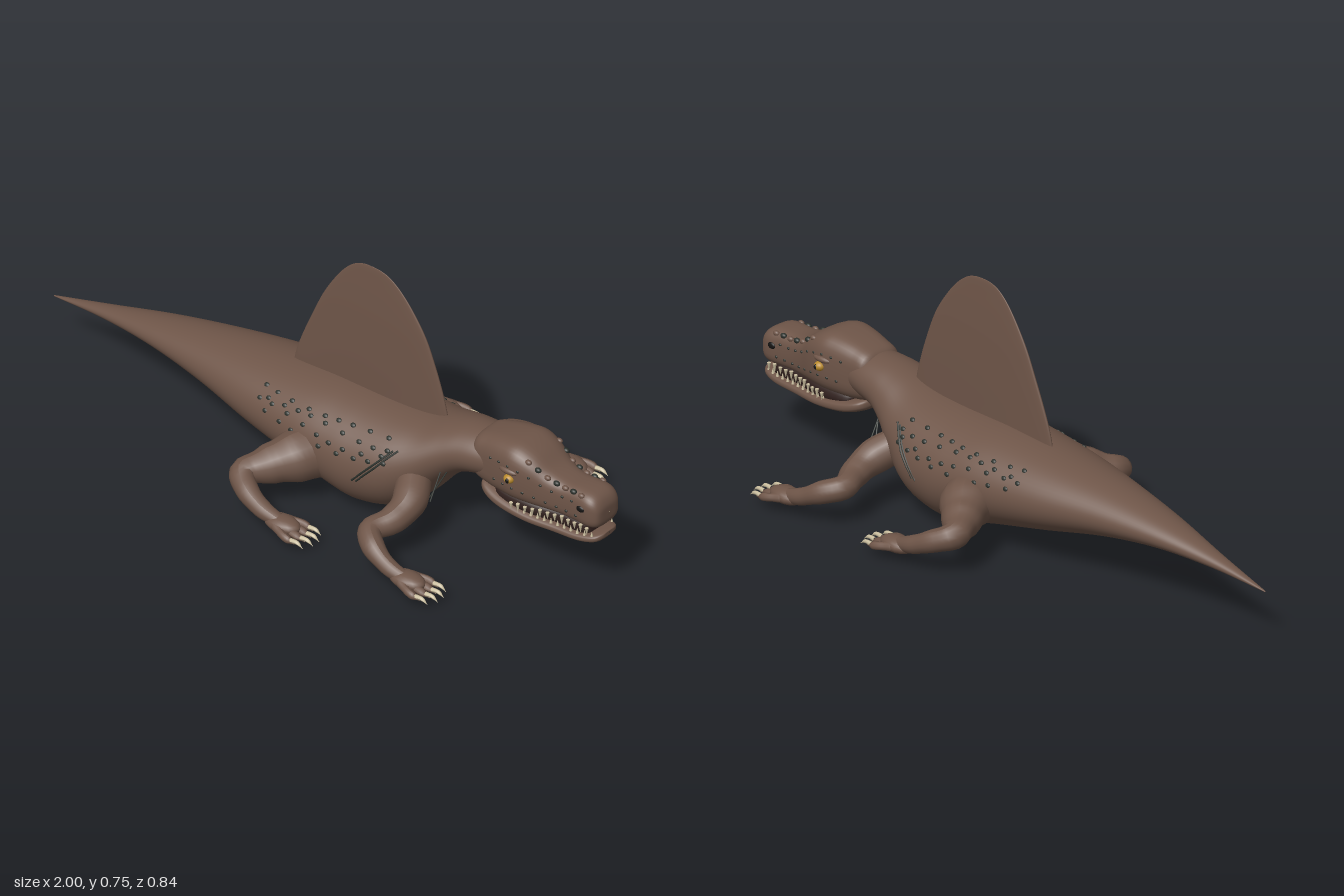
import * as THREE from 'three';

const mat = (name, color) => Object.assign(new THREE.MeshStandardMaterial({ color }), { name });
const V = (x, y, z) => new THREE.Vector3(x, y, z);

// Station rows: x, bottom, top, half width
const BODY = [
  [-1, 0.154, 0.157, 0.002], [-0.8, 0.165, 0.205, 0.03], [-0.6, 0.163, 0.25, 0.07], [-0.4, 0.135, 0.285, 0.112],
  [-0.2, 0.088, 0.31, 0.157], [0, 0.042, 0.328, 0.188], [0.12, 0.01, 0.33, 0.197], [0.2, 0, 0.33, 0.197],
  [0.3, 0.025, 0.333, 0.185], [0.38, 0.085, 0.342, 0.155], [0.45, 0.165, 0.36, 0.122], [0.51, 0.215, 0.372, 0.102],
  [0.58, 0.235, 0.375, 0.09], [0.66, 0.24, 0.37, 0.07]];
const SKULL = [
  [0.55, 0.28, 0.34, 0.03], [0.565, 0.24, 0.378, 0.072], [0.61, 0.225, 0.395, 0.082], [0.67, 0.222, 0.407, 0.092],
  [0.72, 0.222, 0.408, 0.097], [0.77, 0.222, 0.388, 0.088], [0.82, 0.222, 0.352, 0.072], [0.87, 0.222, 0.336, 0.062],
  [0.92, 0.22, 0.336, 0.061], [0.96, 0.22, 0.333, 0.063], [0.985, 0.225, 0.32, 0.056], [0.998, 0.24, 0.297, 0.04],
  [1, 0.268, 0.272, 0.002]];
const JAW = [
  [0.57, 0.215, 0.23, 0.02], [0.59, 0.196, 0.235, 0.062], [0.65, 0.176, 0.22, 0.08], [0.75, 0.165, 0.204, 0.081],
  [0.85, 0.165, 0.2, 0.07], [0.93, 0.167, 0.2, 0.064], [0.98, 0.176, 0.205, 0.052], [0.998, 0.188, 0.206, 0.03],
  [1, 0.198, 0.202, 0.002]];
const MOUTH = [[0.62, 0.2, 0.24, 0.002], [0.64, 0.19, 0.24, 0.06], [0.75, 0.185, 0.24, 0.07], [0.85, 0.185, 0.24, 0.054],
  [0.95, 0.185, 0.24, 0.047], [0.965, 0.2, 0.22, 0.002]];

// Sail rows: y, rear x, front x, half thickness
const SAIL = [[0.28, -0.14, 0.43, 0.013], [0.35, -0.125, 0.418, 0.013], [0.42, -0.1, 0.4, 0.013], [0.5, -0.066, 0.373, 0.0125],
  [0.58, -0.03, 0.34, 0.011], [0.65, 0.012, 0.295, 0.008], [0.7, 0.05, 0.252, 0.005], [0.73, 0.085, 0.213, 0.003],
  [0.742, 0.115, 0.18, 0.0015], [0.745, 0.14, 0.15, 0.0005]];

const power = (v, n) => Math.sign(v) * Math.abs(v) ** (2 / n);

// Point on a cross-section; angle 0 is the top, positive turns to +z
const section = ([x, b, t, w], a, n) =>
  V(x, (b + t) / 2 + (t - b) / 2 * power(Math.cos(a), n), w * power(Math.sin(a), n));

// Smooth in-between rows
function refine(rows, per) {
  const c1 = new THREE.CatmullRomCurve3(rows.map(r => V(r[0], r[1], r[2])), false, 'catmullrom', 0.5);
  const c2 = new THREE.CatmullRomCurve3(rows.map(r => V(r[0], r[3], 0)), false, 'catmullrom', 0.5);
  const n = (rows.length - 1) * per;
  return Array.from({ length: n + 1 }, (_, i) => {
    const p = c1.getPoint(i / n);
    return [p.x, p.y, p.z, Math.max(0.0004, c2.getPoint(i / n).y)];
  });
}

// Row at a given x
function rowAt(rows, x) {
  const i = Math.max(1, rows.findIndex(r => r[0] >= x)), a = rows[i - 1], b = rows[i];
  return a.map((v, k) => v + (b[k] - v) * (x - a[0]) / (b[0] - a[0]));
}

// Closed skin over a list of rings
function skin(rows, ringPoint, sides) {
  const pos = [], idx = [];
  rows.forEach((r, i) => {
    for (let j = 0; j < sides; j++) {
      pos.push(...ringPoint(r, j / sides * Math.PI * 2).toArray());
      if (i === rows.length - 1) continue;
      const a = i * sides + j, b = i * sides + (j + 1) % sides;
      idx.push(a, b, a + sides, b, b + sides, a + sides);
    }
  });
  const g = new THREE.BufferGeometry();
  g.setAttribute('position', new THREE.Float32BufferAttribute(pos, 3));
  g.setIndex(idx);
  g.computeVertexNormals();
  return g;
}
const loft = (rows, n, sides = 40) => skin(refine(rows, 5), (r, a) => section(r, a, n), sides);

// Tube whose radius follows a list spread evenly along the path
function limb(points, radii, seg = 36, sides = 16) {
  const g = new THREE.TubeGeometry(new THREE.CatmullRomCurve3(points), seg, 1, sides);
  const p = g.attributes.position, nor = g.attributes.normal;
  for (let i = 0; i < p.count; i++) {
    const u = Math.floor(i / (sides + 1)) / seg * (radii.length - 1), k = Math.min(Math.floor(u), radii.length - 2);
    const r = THREE.MathUtils.lerp(radii[k], radii[k + 1], THREE.MathUtils.smoothstep(u - k, 0, 1)) - 1;
    p.setXYZ(i, p.getX(i) + nor.getX(i) * r, p.getY(i) + nor.getY(i) * r, p.getZ(i) + nor.getZ(i) * r);
  }
  g.computeVertexNormals();
  return g;
}

export function createModel() {
  const root = new THREE.Group();
  const hide = mat('brown hide', 0x6e5548), dark = mat('dark green marking', 0x2b302b), ivory = mat('ivory', 0xc9bd9e);
  const amber = mat('amber eye', 0xb98a2c), black = mat('black', 0x141312), mouthMat = mat('dark mouth', 0x30201d);
  const add = (name, geo, m, parent = root) => {
    const mesh = new THREE.Mesh(geo, m);
    mesh.name = name;
    parent.add(mesh);
    return mesh;
  };
  const ball = new THREE.SphereGeometry(1, 16, 12);
  const blob = (name, p, size, m, parent) => {
    const b = add(name, ball, m, parent);
    b.position.copy(p);
    b.scale.set(...size);
    return b;
  };
  const group = name => {
    const g = new THREE.Group();
    g.name = name;
    root.add(g);
    return g;
  };

  // Trunk, head and sail
  add('bodyAndTail', loft(BODY, 2, 56), hide);
  add('skull', loft(SKULL, 3.2), hide);
  add('lowerJaw', loft(JAW, 2.8), hide);
  add('mouthInterior', loft(MOUTH, 3, 24), mouthMat);
  add('sail', skin(refine(SAIL, 4), ([y, x0, x1, w], a) =>
    V((x0 + x1) / 2 + (x1 - x0) / 2 * Math.cos(a), y, -w * power(Math.sin(a), 3)), 64), hide);

  const tooth = new THREE.ConeGeometry(0.006, 0.024, 8);
  for (const s of [1, -1]) {
    const side = s > 0 ? 'left' : 'right';

    // Legs, each with a foot, four toes and claws
    const legs = [
      ['FrontLeg', [[0.38, 0.19, 0.1], [0.42, 0.15, 0.18], [0.415, 0.125, 0.25], [0.39, 0.115, 0.315],
        [0.43, 0.1, 0.355], [0.5, 0.068, 0.372], [0.56, 0.05, 0.37]], [0.05, 0.052, 0.043, 0.036, 0.034, 0.026, 0.022], 0.55],
      ['HindLeg', [[0.05, 0.15, 0.12], [0.02, 0.145, 0.19], [-0.03, 0.13, 0.26], [-0.065, 0.12, 0.32],
        [-0.02, 0.1, 0.358], [0.045, 0.072, 0.372], [0.1, 0.055, 0.37]], [0.085, 0.078, 0.06, 0.042, 0.034, 0.028, 0.022], 0.1]];
    for (const [name, path, radii, fx] of legs) {
      const leg = group(side + name);
      add('limb', limb(path.map(([x, y, z]) => V(x, y, z * s)), radii), hide, leg);
      blob('foot', V(fx + 0.015, 0.05, 0.368 * s), [0.06, 0.024, 0.037], hide, leg);
      [-0.042, -0.014, 0.014, 0.042].forEach((dz, i) => {
        const len = i === 0 || i === 3 ? 0.085 : 0.1, z0 = 0.368 + dz * 0.6, z1 = 0.368 + dz;
        add('toe', limb([V(fx + 0.01, 0.05, z0 * s), V(fx + len * 0.65, 0.043, z1 * s), V(fx + len + 0.008, 0.034, z1 * s)],
          [0.014, 0.012, 0.012, 0.002], 14, 10), hide, leg);
        add('claw', limb([V(fx + len - 0.008, 0.041, z1 * s), V(fx + len + 0.016, 0.042, z1 * s), V(fx + len + 0.036, 0.03, z1 * s)],
          [0.007, 0.006, 0.0006], 10, 8), ivory, leg);
      });
    }

    // Eye with pupil and brow
    const face = group(side + 'Face');
    blob('eye', V(0.715, 0.313, 0.095 * s), [0.017, 0.014, 0.016], amber, face);
    blob('pupil', V(0.718, 0.313, 0.108 * s), [0.006, 0.008, 0.005], black, face);
    blob('brow', V(0.71, 0.335, 0.088 * s), [0.034, 0.011, 0.015], hide, face);
    blob('nostril', V(0.945, 0.288, 0.062 * s), [0.014, 0.01, 0.005], black, face);

    // Teeth along both jaws
    for (let i = 0; i < 12; i++) {
      const x = 0.715 + i * 0.0225;
      const up = add('upperTooth', tooth, ivory, face);
      up.position.set(x, 0.215, s * (rowAt(SKULL, x)[3] * 0.93 - 0.003));
      up.rotation.x = Math.PI;
      up.scale.y = i % 3 === 1 ? 1.25 : 1;
      const low = add('lowerTooth', tooth, ivory, face);
      low.position.set(x + 0.011, 0.205, s * rowAt(JAW, x + 0.011)[3] * 0.85);
      low.scale.setScalar(0.8);
    }

    // Knobs along the snout ridge and dark flecks on the cheek
    for (let i = 0; i < 7; i++) {
      const p = section(rowAt(SKULL, 0.765 + i * 0.029), 0.75 * s, 3.2);
      blob('snoutKnob', p, [0.011, 0.008, 0.008], i % 2 ? dark : hide, face);
    }
    for (let i = 0; i < 18; i++) {
      const x = 0.64 + (i % 9) * 0.034 + (i > 8 ? 0.015 : 0);
      const p = section(rowAt(SKULL, x), (i > 8 ? 1.75 : 1.35) * s, 3.2);
      blob('cheekFleck', p, [0.005, 0.004, 0.003], dark, face);
    }

    // Rows of dark scales on the flank
    const flank = group(side + 'FlankScales');
    for (let r = 0; r < 4; r++) for (let i = 0; i < 9; i++) {
      const x = -0.14 + i * 0.055 + (r % 2) * 0.026 + 0.008 * Math.sin(i * 5 + r * 3);
      const a = 0.78 + r * 0.17 + 0.05 * Math.sin(i * 7 + r * 2);
      const b = blob('scale', section(rowAt(BODY, x), a * s, 2), [0.009, 0.007, 0.004], dark, flank);
      b.rotation.x = -(Math.PI / 2 - a) * s;
    }

    // Long dark scars on the shoulder and strands below the neck
    for (const d of [0, 0.014]) {
      const scar = [0, 1, 2, 3, 4].map(i => section(rowAt(BODY, 0.225 + d + i * 0.028), (1.68 - i * 0.17) * s, 2));
      add(side + 'Scar', new THREE.TubeGeometry(new THREE.CatmullRomCurve3(scar), 16, 0.0035, 6), dark);
      const strand = new THREE.LineCurve3(V(0.485 - d, 0.235, (0.085 + d) * s), V(0.455 + d, 0.155, (0.13 + d) * s));
      add(side + 'NeckStrand', new THREE.TubeGeometry(strand, 4, 0.0022, 6), dark);
    }
  }
  return root;
}
